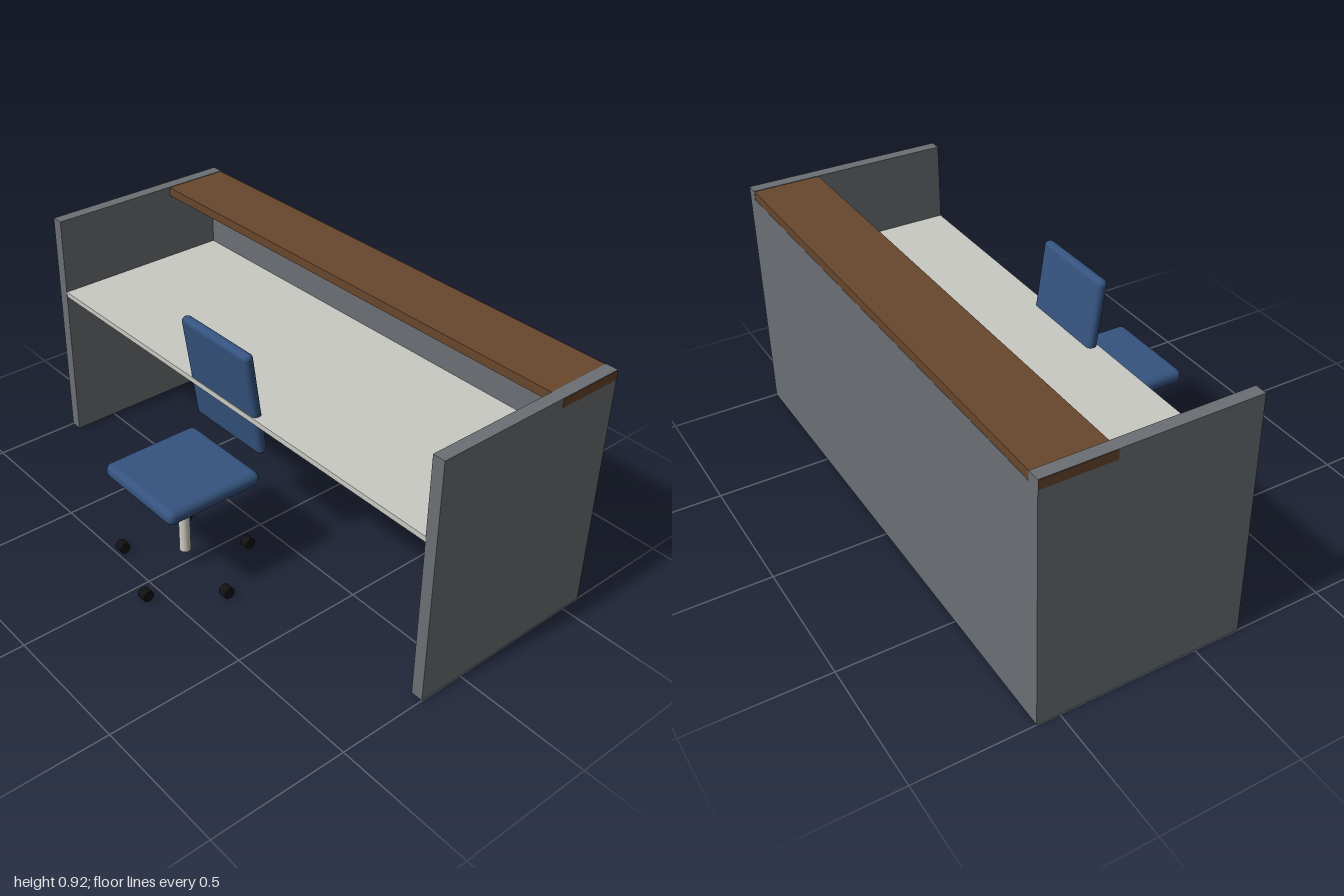
import * as THREE from 'three';
import { RoundedBoxGeometry } from 'three/addons/geometries/RoundedBoxGeometry.js';

const material = (name, color) => {
  const m = new THREE.MeshStandardMaterial({ color });
  m.name = name;
  return m;
};

export function createModel() {
  const grey = material('grey panel', 0x6b7074);
  const wood = material('brown wood', 0x68462c);
  const top = material('pale worktop', 0xcacac4);
  const metal = material('light metal', 0xcfcec4);
  const fabric = material('blue fabric', 0x35537f);
  const rubber = material('black rubber', 0x111111);

  const model = new THREE.Group();
  model.name = 'receptionDesk';

  const add = (parent, name, geometry, mat, x, y, z) => {
    const mesh = new THREE.Mesh(geometry, mat);
    mesh.name = name;
    mesh.position.set(x, y, z);
    parent.add(mesh);
    return mesh;
  };
  // box given by its minimum and maximum corners
  const slab = (parent, name, mat, [x0, y0, z0], [x1, y1, z1]) =>
    add(parent, name, new THREE.BoxGeometry(x1 - x0, y1 - y0, z1 - z0), mat,
      (x0 + x1) / 2, (y0 + y1) / 2, (z0 + z1) / 2);

  // Desk: side panels, rear panel, worktop and raised counter
  const desk = new THREE.Group();
  desk.name = 'desk';
  model.add(desk);
  slab(desk, 'rightSidePanel', grey, [-1, 0, -0.58], [-0.955, 0.917, 0.17]);
  slab(desk, 'leftSidePanel', grey, [0.955, 0, -0.58], [1, 0.917, 0.17]);
  slab(desk, 'rearPanel', grey, [-0.955, 0, -0.58], [0.955, 0.883, -0.535]);
  slab(desk, 'worktop', top, [-0.955, 0.605, -0.535], [0.955, 0.625, 0.169]);
  slab(desk, 'counter', wood, [-1.001, 0.882, -0.579], [1.001, 0.915, -0.328]);

  // Chair: seat, leaning backrest and post
  const chair = new THREE.Group();
  chair.name = 'chair';
  chair.position.set(-0.003, 0, 0.338);
  model.add(chair);
  add(chair, 'seat', new RoundedBoxGeometry(0.38, 0.055, 0.38, 5, 0.025), fabric, 0, 0.384, 0);
  const back = add(chair, 'backrest', new RoundedBoxGeometry(0.35, 0.41, 0.038, 5, 0.018),
    fabric, 0, 0.667, -0.185);
  back.rotation.x = 0.15;
  add(chair, 'post', new THREE.CylinderGeometry(0.02, 0.02, 0.3, 24), metal, 0, 0.21, 0);

  // Five casters in a ring, all rolling along z
  const wheel = new THREE.CylinderGeometry(0.021, 0.021, 0.034, 20).rotateZ(Math.PI / 2);
  for (let i = 0; i < 5; i++) {
    const a = (i * Math.PI * 2) / 5;
    add(chair, 'caster' + (i + 1), wheel, rubber, 0.234 * Math.cos(a), 0.022, 0.234 * Math.sin(a));
  }
  return model;
}
